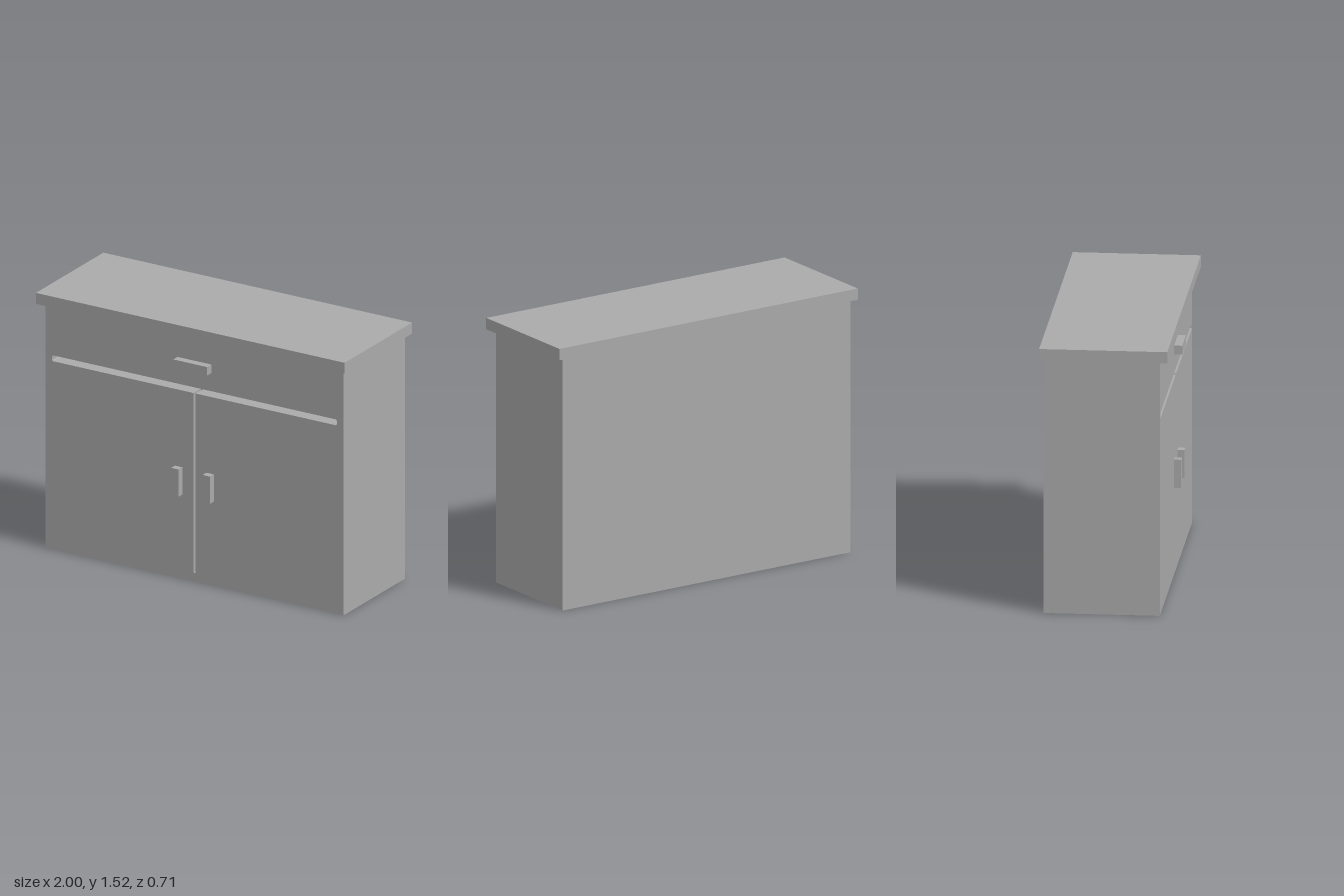
import * as THREE from 'three';

export function createModel() {
  const model = new THREE.Group();
  const grey = new THREE.MeshStandardMaterial({ color: 0xaaaaaa });
  grey.name = 'grey';

  const add = (name, geometry) => {
    const mesh = new THREE.Mesh(geometry, grey);
    mesh.name = name;
    model.add(mesh);
    return mesh;
  };

  // Box given by its limits on each axis
  const box = (name, [x0, x1], [y0, y1], [z0, z1]) =>
    add(name, new THREE.BoxGeometry(x1 - x0, y1 - y0, z1 - z0))
      .position.set((x0 + x1) / 2, (y0 + y1) / 2, (z0 + z1) / 2);

  const outline = (points) => points.map(([x, y]) => new THREE.Vector2(x, y));

  const width = 0.965, height = 1.455, front = 0.31, back = -0.335, grooveDepth = 0.08;

  // Cabinet body behind the front panel
  box('body', [-width, width], [0, height], [back, front - grooveDepth]);

  // Front panel with a T-shaped groove dividing the drawer and two doors
  const panel = new THREE.Shape(outline([[-width, 0], [width, 0], [width, height], [-width, height]]));
  const gx = 0.922, slit = 0.008, c = 0.006;
  const gTop = 1.152, gBottom = 1.117;
  panel.holes.push(new THREE.Path(outline([
    [-slit, 0.053], [-slit, gBottom], [-gx + c, gBottom], [-gx, gBottom + c],
    [-gx, gTop - c], [-gx + c, gTop], [gx - c, gTop], [gx, gTop - c],
    [gx, gBottom + c], [gx - c, gBottom], [slit, gBottom], [slit, 0.053],
  ])));
  add('frontPanel', new THREE.ExtrudeGeometry(panel, { depth: grooveDepth, bevelEnabled: false }))
    .position.z = front - grooveDepth;

  // Overhanging worktop
  box('worktop', [-1, 1], [height, 1.52], [-0.355, 0.355]);

  // Handles
  box('drawerHandle', [-0.11, 0.11], [1.26, 1.31], [front, 0.355]);
  box('leftDoorHandle', [0.077, 0.125], [0.5, 0.662], [front, 0.35]);
  box('rightDoorHandle', [-0.127, -0.079], [0.5, 0.662], [front, 0.35]);

  return model;
}
